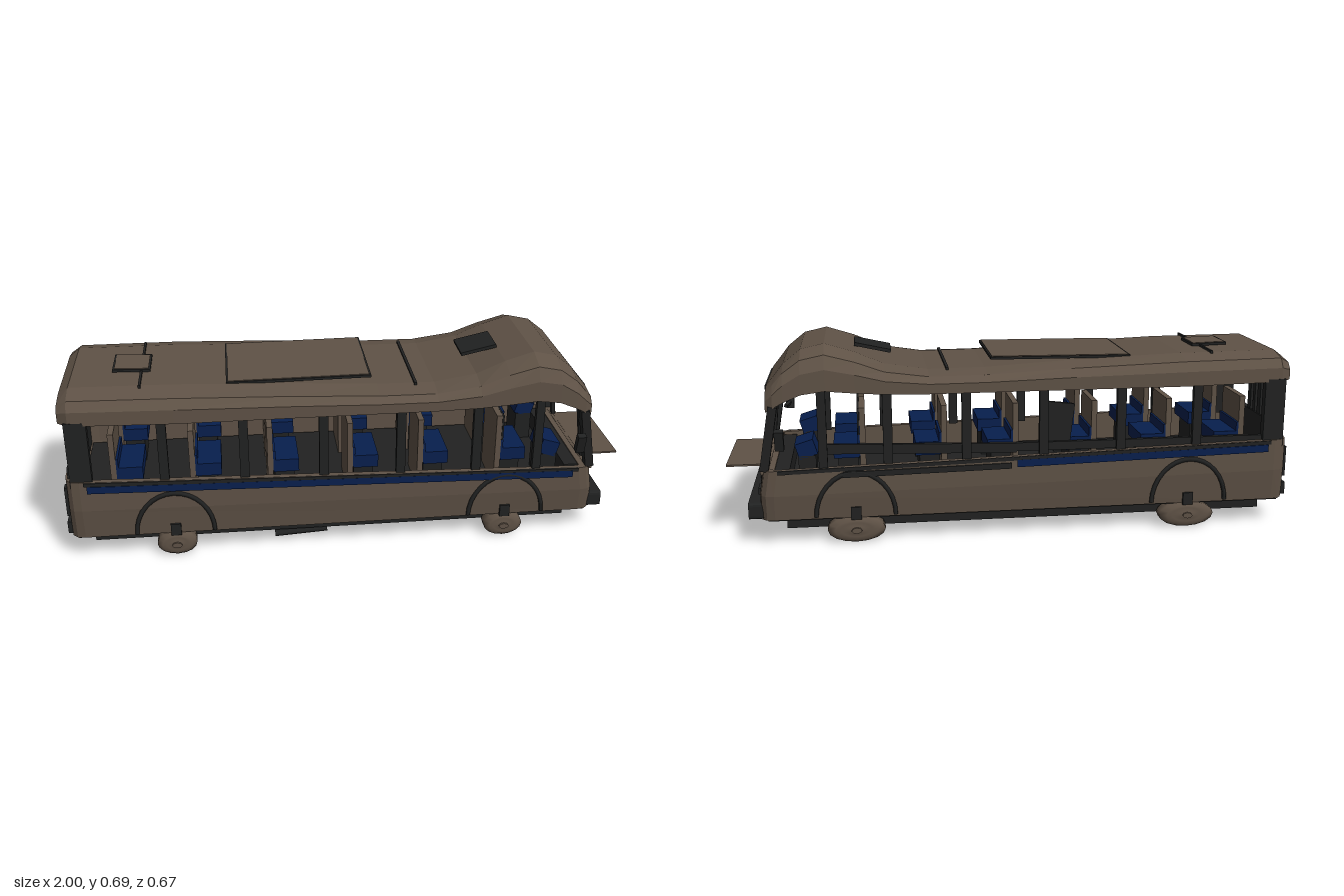
import * as THREE from 'three';

const brown = new THREE.MeshStandardMaterial({ color: 0x5f5246 });
brown.name = 'taupe paint';
const dark = new THREE.MeshStandardMaterial({ color: 0x212222 });
dark.name = 'charcoal trim';
const blue = new THREE.MeshStandardMaterial({ color: 0x081f4e });
blue.name = 'navy blue';

export function createModel() {
  const bus = new THREE.Group();
  bus.name = 'bus';

  const add = (name, geo, mat, x = 0, y = 0, z = 0) => {
    const m = new THREE.Mesh(geo, mat);
    m.name = name;
    m.position.set(x, y, z);
    bus.add(m);
    return m;
  };
  // box given by its limits on each axis
  const box = (name, mat, x0, x1, y0, y1, z0, z1) =>
    add(name, new THREE.BoxGeometry(x1 - x0, y1 - y0, z1 - z0), mat,
      (x0 + x1) / 2, (y0 + y1) / 2, (z0 + z1) / 2);
  // square bar between two points
  const strut = (name, mat, a, b, w, d = w) => {
    const p = new THREE.Vector3(...a), q = new THREE.Vector3(...b);
    const m = add(name, new THREE.BoxGeometry(w, p.distanceTo(q), d), mat);
    m.position.copy(p).lerp(q, 0.5);
    m.quaternion.setFromUnitVectors(new THREE.Vector3(0, 1, 0), q.sub(p).normalize());
    return m;
  };
  // flat-shaded skin through rings of points, capped at both ends
  const loft = (rings) => {
    const n = rings[0].length, idx = [];
    for (let i = 0; i < rings.length - 1; i++) {
      for (let j = 0; j < n; j++) {
        const k = (j + 1) % n, a = i * n + j, b = i * n + k, c = b + n, d = a + n;
        idx.push(a, c, b, a, d, c);
      }
    }
    const last = (rings.length - 1) * n;
    for (let j = 1; j < n - 1; j++) idx.push(0, j, j + 1, last, last + j + 1, last + j);
    const g = new THREE.BufferGeometry();
    g.setAttribute('position', new THREE.Float32BufferAttribute(rings.flat(2), 3));
    g.setIndex(idx);
    const flat = g.toNonIndexed();
    flat.computeVertexNormals();
    return flat;
  };

  // roof: [x, lower edge, top, half width]
  const stations = [
    [-0.985, 0.53, 0.60, 0.255], [-0.95, 0.525, 0.625, 0.275], [-0.6, 0.52, 0.622, 0.282],
    [-0.2, 0.52, 0.607, 0.282], [0.1, 0.52, 0.59, 0.282], [0.3, 0.52, 0.588, 0.282],
    [0.45, 0.523, 0.612, 0.282], [0.55, 0.53, 0.655, 0.282], [0.65, 0.54, 0.686, 0.284],
    [0.73, 0.53, 0.668, 0.284], [0.79, 0.505, 0.62, 0.283], [0.825, 0.485, 0.575, 0.28],
    [0.85, 0.47, 0.545, 0.265]];
  add('roof', loft(stations.map(([x, b, t, w]) => {
    const side = [[1, 0], [1, 0.5], [0.92, 0.82], [0.65, 1]];
    const loop = [...side, ...side.slice().reverse().map(([s, h]) => [-s, h])];
    return loop.map(([s, h]) => [x, b + (t - b) * h, s * w]);
  })), brown);
  box('destinationSign', dark, 0.849, 0.856, 0.48, 0.54, -0.16, 0.16);

  // lower body: hollow tub with a sill that falls towards the front
  const outline = (T, x0, x1, w, r) => {
    const s = new T();
    s.moveTo(x0 + r, -w); s.lineTo(x1 - r, -w);
    s.quadraticCurveTo(x1, -w, x1, -w + r); s.lineTo(x1, w - r);
    s.quadraticCurveTo(x1, w, x1 - r, w); s.lineTo(x0 + r, w);
    s.quadraticCurveTo(x0, w, x0, w - r); s.lineTo(x0, -w + r);
    s.quadraticCurveTo(x0, -w, x0 + r, -w);
    return s;
  };
  const tubShape = outline(THREE.Shape, -0.985, 0.885, 0.282, 0.05);
  tubShape.holes.push(outline(THREE.Path, -0.965, 0.865, 0.262, 0.04));
  const tub = new THREE.ExtrudeGeometry(tubShape, { depth: 1, steps: 2, bevelEnabled: false, curveSegments: 3 });
  tub.rotateX(-Math.PI / 2);
  const p = tub.attributes.position;
  for (let i = 0; i < p.count; i++) {
    const h = p.getY(i), x = p.getX(i), top = 0.29 - 0.026 * x;
    p.setY(i, 0.09 + (top - 0.09) * h);
    p.setZ(i, p.getZ(i) * (h < 0.2 ? 0.96 : 1));
    if (x > 0.8 && h > 0.8) p.setX(i, x - 0.015);
  }
  tub.computeVertexNormals();
  add('lowerBody', tub, brown);
  box('cabinFloor', dark, -0.95, 0.85, 0.095, 0.2, -0.25, 0.25);
  box('underTray', dark, -0.96, 0.86, 0.085, 0.094, -0.262, 0.262);
  box('chassis', dark, -0.91, 0.8, 0.04, 0.086, -0.21, 0.21);
  const exhaust = add('exhaust', new THREE.CylinderGeometry(0.02, 0.02, 0.19, 8), dark, -0.175, 0.024, 0.195);
  exhaust.scale.x = 0.5;
  exhaust.rotation.z = Math.PI / 2 + 0.06;

  for (const s of [1, -1]) {
    // side stripes
    const y = (x) => 0.265 - 0.022 * x;
    const x1 = s > 0 ? 0.8 : 0;
    strut('blueStripe', blue, [-0.91, y(-0.91), s * 0.283], [x1, y(x1), s * 0.283], 0.026, 0.008);
    strut('darkStripe', dark, [-0.92, 0.306, s * 0.282], [0.82, 0.262, s * 0.282], 0.013, 0.009);

    // window pillars
    for (const x of [-0.645, -0.37, -0.095, 0.175, 0.445]) {
      box('windowPillar', dark, x - 0.016, x + 0.016, 0.28, 0.53, s * 0.265 - 0.01, s * 0.265 + 0.01);
    }
    box('rearPillar', dark, -0.965, -0.89, 0.29, 0.535, s * 0.262 - 0.014, s * 0.262 + 0.014);
    strut('cabPillar', dark, [0.665, 0.27, s * 0.265], [0.665, 0.56, s * 0.265], 0.03, 0.02);
    strut('windshieldPillar', dark, [0.865, 0.265, s * 0.25], [0.825, 0.49, s * 0.262], 0.03, 0.036);
    strut('windshieldBar', dark, [0.862, 0.265, s * 0.18], [0.838, 0.475, s * 0.168], 0.014, 0.02);

    // mirrors, leaning outward at the top
    const mirror = box('mirror', dark, 0.79, 0.82, 0.35, 0.42, s * 0.314 - 0.012, s * 0.314 + 0.012);
    mirror.rotation.x = s * 0.25;
    strut('mirrorArm', dark, [0.82, 0.37, s * 0.26], [0.805, 0.375, s * 0.305], 0.012);

    // lamps
    box('headlight', dark, 0.875, 0.892, 0.168, 0.19, s * 0.182 - 0.03, s * 0.182 + 0.03);
    box('tailLight', dark, -0.992, -0.97, 0.17, 0.28, s * 0.235 - 0.015, s * 0.235 + 0.015);

    // wheels and arches
    const r = s > 0 ? 0.07 : 0.1;
    for (const x of [-0.62, 0.56]) {
      const wheel = new THREE.LatheGeometry(
        [[0, -0.035], [0.7, -0.035], [1, -0.022], [1, 0.022], [0.75, 0.035], [0.55, 0.03], [0.3, 0.036], [0, 0.036]]
          .map(([k, h]) => new THREE.Vector2(k * r, h)), 16);
      wheel.rotateX(s * Math.PI / 2);
      add('wheel', wheel, brown, x, 0.046, s * 0.246).scale.y = 0.046 / r;
      add('hub', new THREE.CylinderGeometry(0.018, 0.018, 0.014, 8).rotateX(Math.PI / 2), brown, x, 0.046, s * 0.282).scale.y = 0.6;
      add('wheelArch', new THREE.TorusGeometry(0.135, 0.008, 5, 16, Math.PI), dark, x, 0.1, s * 0.281).scale.y = 1.15;
      box('axleBlock', dark, x - 0.018, x + 0.018, 0.085, 0.13, s * 0.276 - 0.007, s * 0.276 + 0.007);
    }

    // seats: cushion ahead of an upright back
    for (const x of [-0.82, -0.55, -0.28, 0, 0.25, 0.53]) {
      const z0 = s > 0 ? 0.06 : -0.24, z1 = s > 0 ? 0.24 : -0.06;
      box('seatBack', brown, x - 0.01, x + 0.01, 0.2, 0.47, z0, z1);
      box('seatBackPad', blue, x + 0.01, x + 0.018, 0.3, 0.375, z0, z1);
      box('seatCushion', blue, x + 0.012, x + 0.1, 0.295, 0.342, z0, z1);
      box('seatBase', dark, x + 0.015, x + 0.085, 0.2, 0.295, z0 + 0.02, z1 - 0.02);
    }
    box('cabPartition', dark, 0.541, 0.547, 0.375, 0.469, s * 0.15 - 0.09, s * 0.15 + 0.09);
    box('cabSeat', blue, 0.69, 0.755, 0.3, 0.355, s * 0.17 - 0.06, s * 0.17 + 0.06).rotation.z = -0.3;
    box('cabSeatBase', dark, 0.69, 0.75, 0.2, 0.305, s * 0.17 - 0.06, s * 0.17 + 0.06);
    box('rearPost', dark, -0.972, -0.957, 0.35, 0.535, s * 0.048 - 0.015, s * 0.048 + 0.015);
  }
  // door side: inner sill, panel and track
  strut('innerSill', dark, [-0.92, 0.315, -0.255], [0, 0.318, -0.255], 0.03, 0.016);
  strut('innerSill', dark, [0, 0.315, -0.255], [0.68, 0.335, -0.255], 0.034, 0.016);
  box('cabPanel', dark, -0.2, -0.09, 0.33, 0.47, -0.25, -0.235).rotation.z = 0.12;
  strut('doorTrack', dark, [0.02, 0.258, -0.283], [0.6, 0.248, -0.283], 0.02, 0.009);

  // front end
  box('dashboard', dark, 0.78, 0.85, 0.2, 0.262, -0.24, 0.24);
  box('windshieldSill', brown, 0.83, 0.878, 0.25, 0.266, -0.255, 0.255);
  box('sunPlate', brown, 0.86, 1.0, 0.262, 0.268, -0.18, 0.17);
  const bumper = outline(THREE.Shape, 0.092, 0.15, 0.257, 0.012);
  add('frontBumper', new THREE.ExtrudeGeometry(bumper, { depth: 0.05, bevelEnabled: false, curveSegments: 3 })
    .applyMatrix4(new THREE.Matrix4().set(0, 0, 1, 0.875, 1, 0, 0, 0, 0, 1, 0, 0, 0, 0, 0, 1)), dark);
  box('numberPlate', brown, 0.925, 0.93, 0.092, 0.126, -0.052, 0.052);
  box('grille', dark, 0.875, 0.89, 0.157, 0.2, -0.096, 0.096);
  for (let i = 0; i < 5; i++) {
    const y = 0.163 + i * 0.0075;
    box('grilleSlat', dark, 0.89, 0.894, y, y + 0.003, -0.09, 0.09);
  }

  // rear end
  box('rearSill', dark, -0.975, -0.955, 0.2, 0.355, -0.25, 0.25);
  box('rearMullion', dark, -0.972, -0.957, 0.35, 0.535, -0.011, 0.011);
  box('rearGrille', dark, -0.991, -0.98, 0.16, 0.26, -0.18, 0.18);
  box('rearBumper', dark, -0.995, -0.97, 0.1, 0.145, -0.25, 0.25);

  // roof fittings: thin panels, each on a slightly larger dark rim
  const rimmedPanel = (name, x0, x1, y, w, tilt) => {
    box(name + 'Rim', dark, x0, x1, y - 0.006, y + 0.003, -w, w).rotation.z = tilt;
    box(name, brown, x0 + 0.006, x1 - 0.006, y - 0.003, y + 0.005, -w + 0.006, w - 0.006).rotation.z = tilt;
  };
  rimmedPanel('roofPanel', -0.42, 0.08, 0.618, 0.18, 0.008);
  rimmedPanel('rearHatch', -0.81, -0.68, 0.632, 0.07, -0.03);
  const hatch = box('frontHatch', dark, 0.42, 0.55, 0.642, 0.654, -0.075, 0.06);
  hatch.rotation.z = 0.22;
  box('roofSeam', dark, 0.228, 0.238, 0.58, 0.595, -0.2, 0.2);
  box('roofSeam', dark, -0.715, -0.707, 0.62, 0.63, -0.2, 0.2);
  return bus;
}
